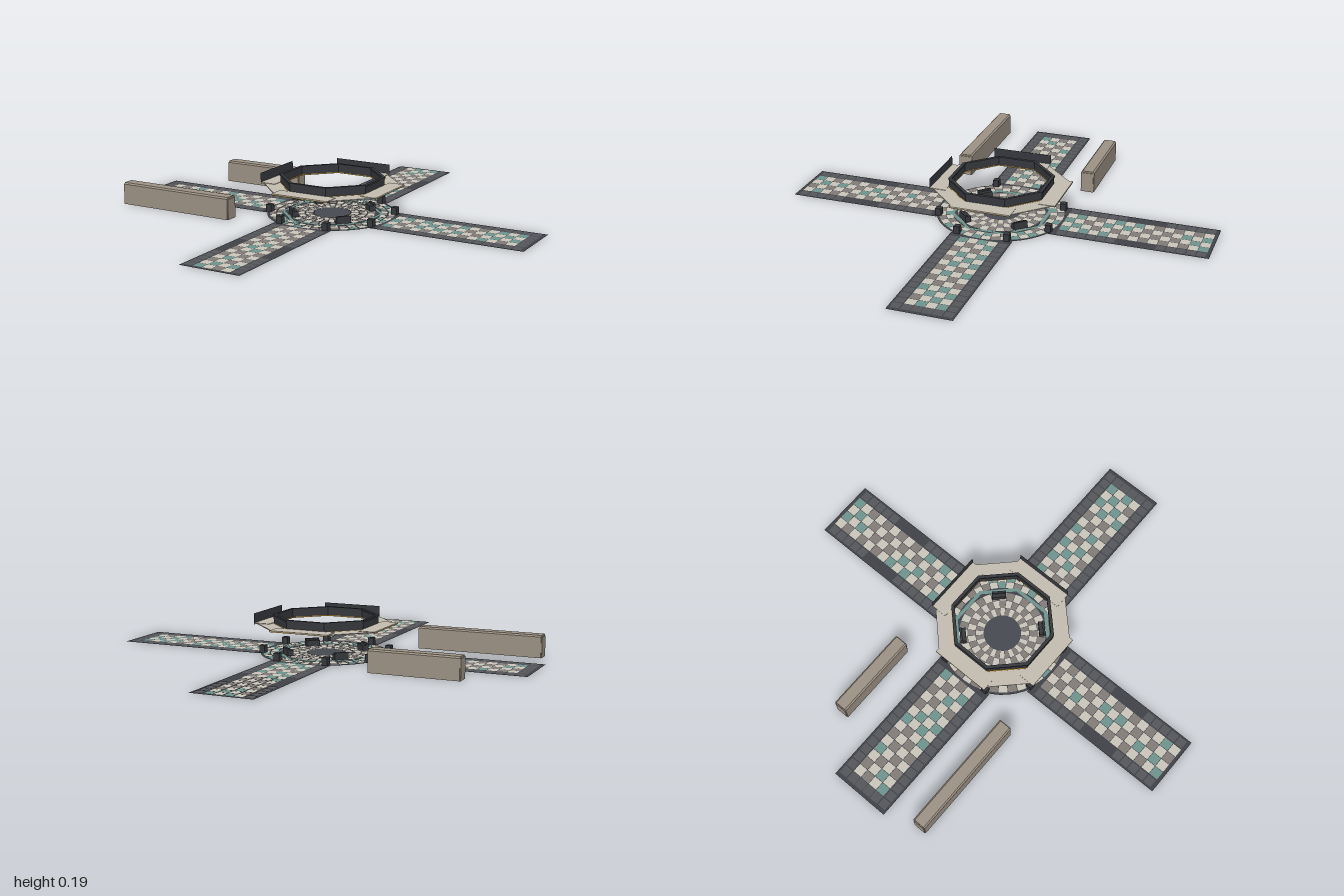
import * as THREE from 'three';
import { mergeGeometries } from 'three/addons/utils/BufferGeometryUtils.js';

const mat = (color, extra = {}) => new THREE.MeshStandardMaterial({ color, side: THREE.DoubleSide, ...extra });
const COLORS = { light: 0xcbc6ba, grey: 0x827c79, teal: 0x6f938d, border: 0x54565b };

let seed = 7;
const rand = () => (seed = (seed * 16807) % 2147483647) / 2147483647;
const checker = (i, j) => ((i + j) % 2 ? 'light' : rand() < 0.45 ? 'teal' : 'grey');

export function createModel() {
  const root = new THREE.Group();
  const add = (name, geo, material, parent = root) => {
    const m = new THREE.Mesh(geo, material);
    m.name = name;
    parent.add(m);
    return m;
  };
  const dark = mat(0x36383d, { flatShading: true });
  const slab = mat(0x404248);
  const cream = mat(0xc4bdb0, { flatShading: true });
  const gold = mat(0xb08a3a, { flatShading: true });

  // Tiles are collected by colour and merged at the end
  const tiles = { light: [], grey: [], teal: [], border: [] };
  const flat = (w, d, x, y, z) => new THREE.PlaneGeometry(w, d).rotateX(-Math.PI / 2).translate(x, y, z);

  // Four walkways: slab, checkered middle, dark border squares
  for (let a = 0; a < 4; a++) {
    const turn = a * Math.PI / 2;
    add('walkway', flat(0.292, 0.73, 0, 0.001, 0.635).rotateY(turn), slab);
    const pitch = 0.0455;
    for (let j = 0; j < 15; j++) {
      const z = 0.962 - j * pitch;
      const endRow = j === 0 && a % 2 === 1;
      for (let i = 0; i < 4; i++) {
        const kind = endRow ? 'border' : checker(i, j);
        tiles[kind].push(flat(0.043, 0.043, (i - 1.5) * 0.0455, 0.0022, z).rotateY(turn));
      }
      // the border squares leave a plain stretch on the z walkways
      if (a % 2 === 1 || j < 5 || j > 8)
        for (const s of [-1, 1]) tiles.border.push(flat(0.04, 0.04, s * 0.116, 0.0022, z).rotateY(turn));
    }
  }

  // Round plaza with rings of radial tiles
  add('plazaBase', new THREE.CircleGeometry(0.302, 48).rotateX(-Math.PI / 2), slab);
  const ringTile = (kind, r0, r1, i, n) => {
    const step = Math.PI * 2 / n;
    tiles[kind].push(new THREE.RingGeometry(r0, r1, 2, 1, i * step + 0.006, step - 0.012)
      .rotateX(-Math.PI / 2).translate(0, 0.0024, 0));
  };
  [[0.088, 0.125], [0.127, 0.163], [0.165, 0.203]].forEach(([r0, r1], j) => {
    for (let i = 0; i < 32; i++) ringTile((i + (j === 1 ? 1 : 0)) % 2 ? 'light' : 'grey', r0, r1, i, 32);
  });
  [[0.228, 0.258], [0.26, 0.292]].forEach(([r0, r1], j) => {
    for (let i = 0; i < 40; i++) ringTile(checker(i, j), r0, r1, i, 40);
  });
  for (const [kind, list] of Object.entries(tiles))
    add(kind + 'Tiles', mergeGeometries(list), mat(COLORS[kind]));
  add('octagonInlay', new THREE.RingGeometry(0.22, 0.238, 8, 1, Math.PI / 8)
    .rotateX(-Math.PI / 2).translate(0, 0.003, 0), mat(COLORS.teal));
  add('plazaCentre', new THREE.CircleGeometry(0.086, 40)
    .rotateX(-Math.PI / 2).translate(0, 0.003, 0), mat(0x474a51));

  // Low seats on the diagonals, posts beside each walkway mouth
  const furniture = new THREE.Group();
  furniture.name = 'plazaFurniture';
  root.add(furniture);
  for (let q = 0; q < 4; q++) {
    const corner = new THREE.Group();
    corner.name = 'plazaCorner';
    corner.rotation.y = q * Math.PI / 2 + Math.PI / 4;
    furniture.add(corner);
    add('seat', new THREE.BoxGeometry(0.066, 0.026, 0.028).translate(0, 0.015, 0.185), dark, corner);
    add('seatBack', new THREE.BoxGeometry(0.066, 0.02, 0.01).translate(0, 0.026, 0.194), dark, corner);
    for (const s of [-1, 1]) {
      const post = add('post', new THREE.BoxGeometry(0.028, 0.035, 0.028), dark, corner);
      post.position.set(s * 0.104, 0.0185, 0.272);
      post.rotation.y = Math.PI / 4;
    }
  }

  // Raised octagonal ring
  const octagon = (inner, outer, y0, y1) => {
    const k = 1 / Math.cos(Math.PI / 8);
    const pts = [[inner, y0], [outer, y0], [outer, y1], [inner, y1], [inner, y0]];
    return new THREE.LatheGeometry(pts.map(([r, y]) => new THREE.Vector2(r * k, y)), 8, Math.PI / 8);
  };
  add('ringWall', octagon(0.215, 0.224, 0.14, 0.172), dark);
  add('ringCoping', octagon(0.212, 0.227, 0.172, 0.18), dark);
  add('ringTrim', octagon(0.214, 0.229, 0.135, 0.14), gold);

  // Flat canopy panels, with upright fins on the four main sides
  for (let i = 0; i < 8; i++) {
    const main = i % 2 === 0;
    const side = new THREE.Group();
    side.name = 'canopySide';
    side.rotation.y = i * Math.PI / 4;
    root.add(side);
    add('canopyPanel', new THREE.BoxGeometry(main ? 0.286 : 0.212, 0.004, 0.076)
      .translate(0, main ? 0.139 : 0.137, 0.262), cream, side);
    if (main) {
      add('canopyFin', new THREE.PlaneGeometry(0.286, 0.05).rotateY(Math.PI).translate(0, 0.16, 0.3),
        new THREE.MeshStandardMaterial({ color: 0x36383d }), side);
      add('canopyEdge', new THREE.BoxGeometry(0.286, 0.004, 0.002).translate(0, 0.136, 0.299), gold, side);
    }
  }

  // Two long free-standing walls: hollow underneath, bevelled edges
  const stone = mat(0x9c9184, { flatShading: true });
  const wall = (name, x0, x1, zc) => {
    const s = new THREE.Shape();
    const h = 0.0325, c = 0.007, H = 0.104, t = 0.006;
    [[-h, 0], [-h, H - c], [-h + c, H], [h - c, H], [h, H - c], [h, 0],
      [h - t, 0], [h - t, H - t - c], [-h + t, H - t - c], [-h + t, 0]]
      .forEach(([x, y], i) => (i ? s.lineTo(x, y) : s.moveTo(x, y)));
    const g = new THREE.Group();
    g.name = name;
    root.add(g);
    const len = x1 - x0;
    add('wallShell', new THREE.ExtrudeGeometry(s, { depth: len - 0.008, bevelEnabled: false })
      .rotateY(Math.PI / 2).translate(x0 + 0.004, 0, zc), stone, g);
    for (const x of [x0 + 0.003, x1 - 0.003])
      add('wallEnd', new THREE.BoxGeometry(0.006, 0.096, 0.058).translate(x, 0.048, zc), stone, g);
  };
  wall('frontWall', -0.945, -0.35, 0.3125);
  wall('backWall', -0.77, -0.35, -0.3125);

  return root;
}
